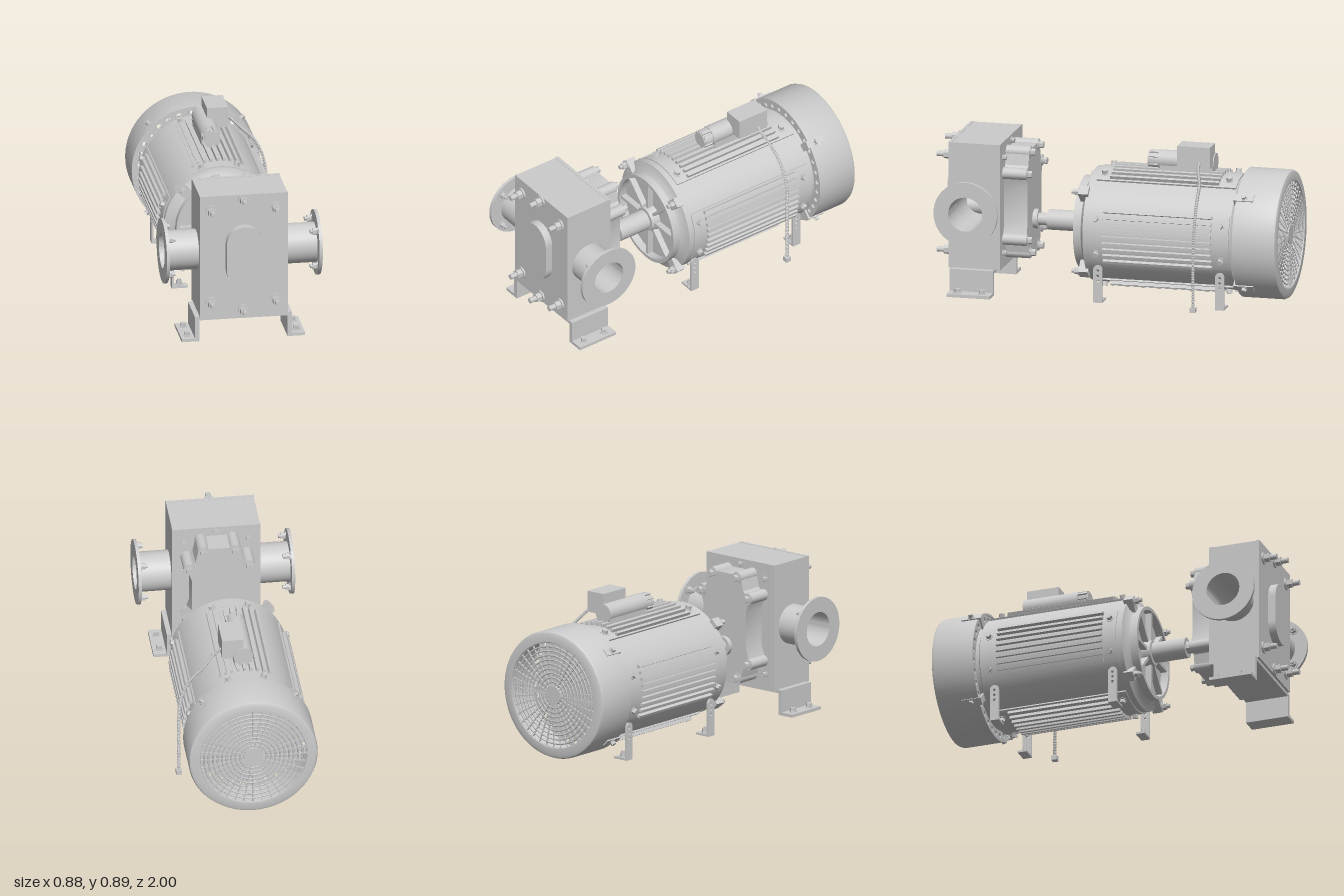
import * as THREE from 'three';
import { toCreasedNormals } from 'three/addons/utils/BufferGeometryUtils.js';

const V = (x, y, z) => new THREE.Vector3(x, y, z);
const mat = new THREE.MeshStandardMaterial({ color: 0xcccccc });
const AXIS = 0.395; // height of the motor shaft
const FRONT = V(0, 0, 1), BACK = V(0, 0, -1), UP = V(0, 1, 0);

function add(parent, name, geo, x = 0, y = 0, z = 0) {
  const m = new THREE.Mesh(geo, mat);
  m.name = name;
  m.position.set(x, y, z);
  parent.add(m);
  return m;
}
function group(parent, name, x = 0, y = 0, z = 0) {
  const g = new THREE.Group();
  g.name = name;
  g.position.set(x, y, z);
  parent.add(g);
  return g;
}
// Box from min and max corners
function box(parent, name, x0, x1, y0, y1, z0, z1) {
  return add(parent, name, new THREE.BoxGeometry(x1 - x0, y1 - y0, z1 - z0),
    (x0 + x1) / 2, (y0 + y1) / 2, (z0 + z1) / 2);
}
// Solid of revolution about z from [radius, z] pairs
function turned(pts, seg = 64) {
  const g = new THREE.LatheGeometry(pts.map(([r, z]) => new THREE.Vector2(r, z)), seg);
  return toCreasedNormals(g.rotateX(Math.PI / 2), 0.5);
}
const rod = (r, z0, z1, seg = 32) =>
  new THREE.CylinderGeometry(r, r, z1 - z0, seg).rotateX(Math.PI / 2).translate(0, 0, (z0 + z1) / 2);
// Shape in xy extruded from z0 to z1
const prism = (shape, z0, z1, curveSegments = 16) => toCreasedNormals(
  new THREE.ExtrudeGeometry(shape, { depth: z1 - z0, bevelEnabled: false, curveSegments }).translate(0, 0, z0), 0.5);
const hole = (shape, x, y, r) => shape.holes.push(new THREE.Path().absarc(x, y, r, 0, Math.PI * 2, true));
const poly = pts => new THREE.Shape(pts.map(p => new THREE.Vector2(...p)));

// Hex bolt growing along dir, with washer and optional stud
function bolt(parent, x, y, z, dir, r = 0.018, stud = 0, washer = 0.004) {
  const b = group(parent, 'bolt', x, y, z);
  b.quaternion.setFromUnitVectors(UP, dir);
  add(b, 'washer', new THREE.CylinderGeometry(r * 1.3, r * 1.3, washer, 20), 0, washer / 2, 0);
  add(b, 'hexHead', toCreasedNormals(new THREE.CylinderGeometry(r, r, r * 1.2, 6), 0.5), 0, washer + r * 0.6, 0);
  if (stud) add(b, 'stud', new THREE.CylinderGeometry(r * 0.6, r * 0.6, stud, 16), 0, stud / 2, 0);
}

function buildMotor(root) {
  const motor = group(root, 'motor', 0, AXIS, 0);
  add(motor, 'body', turned([[0, -0.77], [0.3, -0.77], [0.3, -0.735], [0.318, -0.725], [0.318, 0.1], [0, 0.1]]));
  add(motor, 'endBell', turned([[0.322, 0.085], [0.322, 0.125], [0.285, 0.135], [0.265, 0.15], [0.265, 0.195],
    [0.245, 0.195], [0.245, 0.15], [0.08, 0.15], [0.07, 0.2], [0, 0.2]]));
  for (let i = 0; i < 8; i++) {
    const s = group(motor, 'endBellSpoke');
    s.rotation.z = i * Math.PI / 4;
    box(s, 'spoke', 0.06, 0.25, -0.009, 0.009, 0.14, 0.185);
  }
  // Four finned panels around the body
  for (let i = 0; i < 4; i++) {
    const p = group(motor, 'finPanel');
    p.rotation.z = i * Math.PI / 2;
    const s = new THREE.Shape().absarc(0, 0, 0.328, -0.5, 0.5, false);
    s.absarc(0, 0, 0.31, 0.5, -0.5, true);
    add(p, 'panel', prism(s, -0.72, 0.09));
    for (let k = -4; k <= 4; k++) {
      const f = group(p, 'fin');
      f.rotation.z = k * 0.11;
      box(f, 'finBlade', 0.32, 0.348, -0.008, 0.008, -0.62, 0.01);
    }
    for (const a of [-0.31, 0.31]) for (const z of [0.05, -0.67])
      bolt(p, Math.cos(a) * 0.327, Math.sin(a) * 0.327, z, V(Math.cos(a), Math.sin(a), 0), 0.017);
    // Diagonal bell lugs and cowl clips
    const d = group(motor, 'diagonalFixings');
    d.rotation.z = (i + 0.5) * Math.PI / 2;
    box(d, 'bellLug', 0.25, 0.345, -0.028, 0.028, 0.11, 0.165);
    bolt(d, 0.322, 0, 0.165, FRONT, 0.02, 0.045);
    box(d, 'cowlClip', 0.363, 0.371, -0.022, 0.022, -0.85, -0.735);
    box(d, 'clipFoot', 0.3, 0.371, -0.022, 0.022, -0.745, -0.735);
    bolt(d, 0.37, 0, -0.795, V(1, 0, 0), 0.015);
  }
  add(motor, 'shaft', rod(0.035, 0.15, 0.5));
  add(motor, 'coupling', rod(0.058, 0.205, 0.4));

  // Fan cowl with perforated front ring and rear grille
  const cowl = group(motor, 'fanCowl');
  add(cowl, 'cowlShell', turned([[0.352, -0.75], [0.352, -0.97], [0.34, -0.985], [0.305, -0.985], [0.305, -1],
    [0.345, -1], [0.359, -0.994], [0.365, -0.98], [0.365, -0.75], [0.352, -0.75]], 80));
  const ring = new THREE.Shape().absarc(0, 0, 0.356, 0, Math.PI * 2, false);
  hole(ring, 0, 0, 0.295);
  for (let i = 0; i < 32; i++) {
    const a = (i + 0.5) * Math.PI / 16;
    hole(ring, Math.cos(a) * 0.328, Math.sin(a) * 0.328, 0.014);
  }
  add(cowl, 'ventRing', prism(ring, -0.765, -0.755, 24));
  for (let i = 0; i < 10; i++)
    add(cowl, 'grilleRing', new THREE.TorusGeometry(0.075 + i * 0.0255, 0.005, 6, 64), 0, 0, -0.99);
  for (let i = 0; i < 36; i++) {
    const s = group(cowl, 'grilleSpoke');
    s.rotation.z = i * Math.PI / 18;
    box(s, 'spokeBar', i % 2 ? 0.126 : 0.05, 0.31, -0.003, 0.003, -0.994, -0.986);
  }
  add(cowl, 'grilleHub', rod(0.055, -0.998, -0.98));

  // Perforated strap feet
  for (const side of [-1, 1]) for (const z of [0.05, -0.655]) {
    const foot = group(root, 'motorFoot', 0, 0, z);
    const s = new THREE.Shape();
    s.moveTo(-0.026, 0).lineTo(0.026, 0).lineTo(0.026, 0.19);
    s.absarc(0, 0.19, 0.026, 0, Math.PI, false);
    for (const y of [0.125, 0.155, 0.185]) hole(s, 0, y, 0.008);
    add(foot, 'strap', prism(s, -0.006, 0.006).rotateY(Math.PI / 2), side * 0.266, 0, 0);
    const x0 = side * 0.18, x1 = side * 0.27;
    box(foot, 'footPad', Math.min(x0, x1), Math.max(x0, x1), 0, 0.012, -0.026, 0.026);
    bolt(foot, side * 0.227, 0.012, 0, UP, 0.017, 0.035);
  }

  // Terminal box, capacitor and corrugated cable
  const el = group(root, 'electrics');
  box(el, 'saddle', -0.05, 0.05, 0.7, 0.78, -0.56, -0.25);
  add(el, 'capacitor', rod(0.055, -0.565, -0.24), 0, 0.783, 0);
  add(el, 'capacitorCap', rod(0.044, -0.24, -0.18), 0, 0.783, 0);
  for (let i = 0; i < 10; i++) {
    const r = group(el, 'capRib', 0, 0.783, 0);
    r.rotation.z = i * Math.PI / 5;
    box(r, 'rib', 0.03, 0.052, -0.009, 0.009, -0.24, -0.185);
  }
  box(el, 'terminalBox', 0, 0.12, 0.775, 0.895, -0.56, -0.37);
  const path = new THREE.CatmullRomCurve3([V(0.11, 0.81, -0.5), V(0.15, 0.78, -0.5), V(0.22, 0.705, -0.525),
    V(0.3, 0.62, -0.53), V(0.35, 0.5, -0.53), V(0.36, 0.35, -0.525), V(0.36, 0.03, -0.525)]);
  const tube = new THREE.TubeGeometry(path, 360, 0.008, 8);
  const p = tube.attributes.position, n = tube.attributes.normal;
  for (let i = 0; i < p.count; i++) {
    const k = 0.0025 * Math.sin(Math.floor(i / 9) * Math.PI / 2);
    p.setXYZ(i, p.getX(i) + n.getX(i) * k, p.getY(i) + n.getY(i) * k, p.getZ(i) + n.getZ(i) * k);
  }
  tube.computeVertexNormals();
  add(el, 'cable', tube);
  box(el, 'cablePlug', 0.343, 0.376, 0.003, 0.03, -0.541, -0.508);
}

function buildPump(root) {
  const pump = group(root, 'pump');
  const PY = 0.505, PZ = 0.772; // port centre
  // Housing bored through sideways for the ports
  const side = poly([[-0.905, 0.147], [-0.635, 0.147], [-0.635, 0.868], [-0.905, 0.868]]);
  hole(side, -PZ, PY, 0.098);
  add(pump, 'housing', prism(side, -0.248, 0.248, 32).rotateY(Math.PI / 2));
  box(pump, 'frontPlate', -0.25, 0.25, 0.145, 0.87, 0.9, 0.918);
  box(pump, 'backPlate', -0.25, 0.25, 0.145, 0.87, 0.62, 0.64);
  // Two meshing rotors inside the bore
  for (const y of [0.45, 0.56]) add(pump, 'rotor', rod(0.048, 0.65, 0.89), 0, y, 0);
  const oval = new THREE.Shape().absarc(0, 0.587, 0.103, 0, Math.PI, false);
  oval.absarc(0, 0.43, 0.103, Math.PI, Math.PI * 2, false);
  add(pump, 'frontBoss', prism(oval, 0.91, 0.962, 24));
  for (const [x, y] of [[0, 0.84], [0, 0.177], [0.183, 0.783], [-0.183, 0.783], [0.183, 0.232], [-0.183, 0.232]]) {
    bolt(pump, x, y, 0.918, FRONT, 0.026, 0.082, 0.01);
    bolt(pump, x, y, 0.62, BACK, 0.014);
  }

  // Flanged ports left and right
  for (const s of [-1, 1]) {
    const port = group(pump, 'port', 0, PY, PZ);
    port.rotation.y = s * Math.PI / 2;
    add(port, 'pipe', turned([[0.098, 0.24], [0.113, 0.24], [0.113, 0.424], [0.184, 0.424], [0.184, 0.442],
      [0.098, 0.442], [0.098, 0.24]]));
    for (let i = 0; i < 4; i++) {
      const a = (i + 0.5) * Math.PI / 2;
      bolt(port, Math.cos(a) * 0.147, Math.sin(a) * 0.147, 0.424, BACK, 0.02, 0.042);
    }
  }

  // Gear cover on the back with bolted bosses
  const cover = group(pump, 'gearCover');
  const outline = [[0.06, 0.815], [0.12, 0.8], [0.135, 0.73], [0.18, 0.68], [0.155, 0.61], [0.155, 0.4],
    [0.18, 0.33], [0.135, 0.28], [0.12, 0.215], [0.06, 0.2]];
  const mirrored = outline.map(([x, y]) => [-x, y]).reverse();
  add(cover, 'coverBody', prism(poly([...outline, ...mirrored]), 0.485, 0.625));
  for (const s of [-1, 1]) for (const [x, y] of [[0.09, 0.8], [0.17, 0.69], [0.17, 0.31], [0.09, 0.22]]) {
    add(cover, 'boltBoss', rod(0.033, 0.482, 0.625, 20), s * x, y, 0);
    bolt(cover, s * x, y, 0.482, BACK, 0.02);
  }
  add(cover, 'shaftGland', rod(0.055, 0.458, 0.49), 0, AXIS, 0);

  // Bent-plate stand
  const stand = group(pump, 'stand');
  box(stand, 'standTop', -0.275, 0.275, 0.125, 0.145, 0.655, 0.905);
  for (const s of [-1, 1]) {
    const a = s * 0.25, b = s * 0.275, c = s * 0.35;
    box(stand, 'standLeg', Math.min(a, b), Math.max(a, b), 0, 0.145, 0.655, 0.905);
    box(stand, 'standFoot', Math.min(a, c), Math.max(a, c), 0, 0.018, 0.655, 0.905);
    for (const z of [0.71, 0.85]) bolt(stand, s * 0.31, 0.018, z, UP, 0.017);
  }
}

export function createModel() {
  const root = new THREE.Group();
  root.name = 'motorPump';
  buildMotor(root);
  buildPump(root);
  return root;
}
